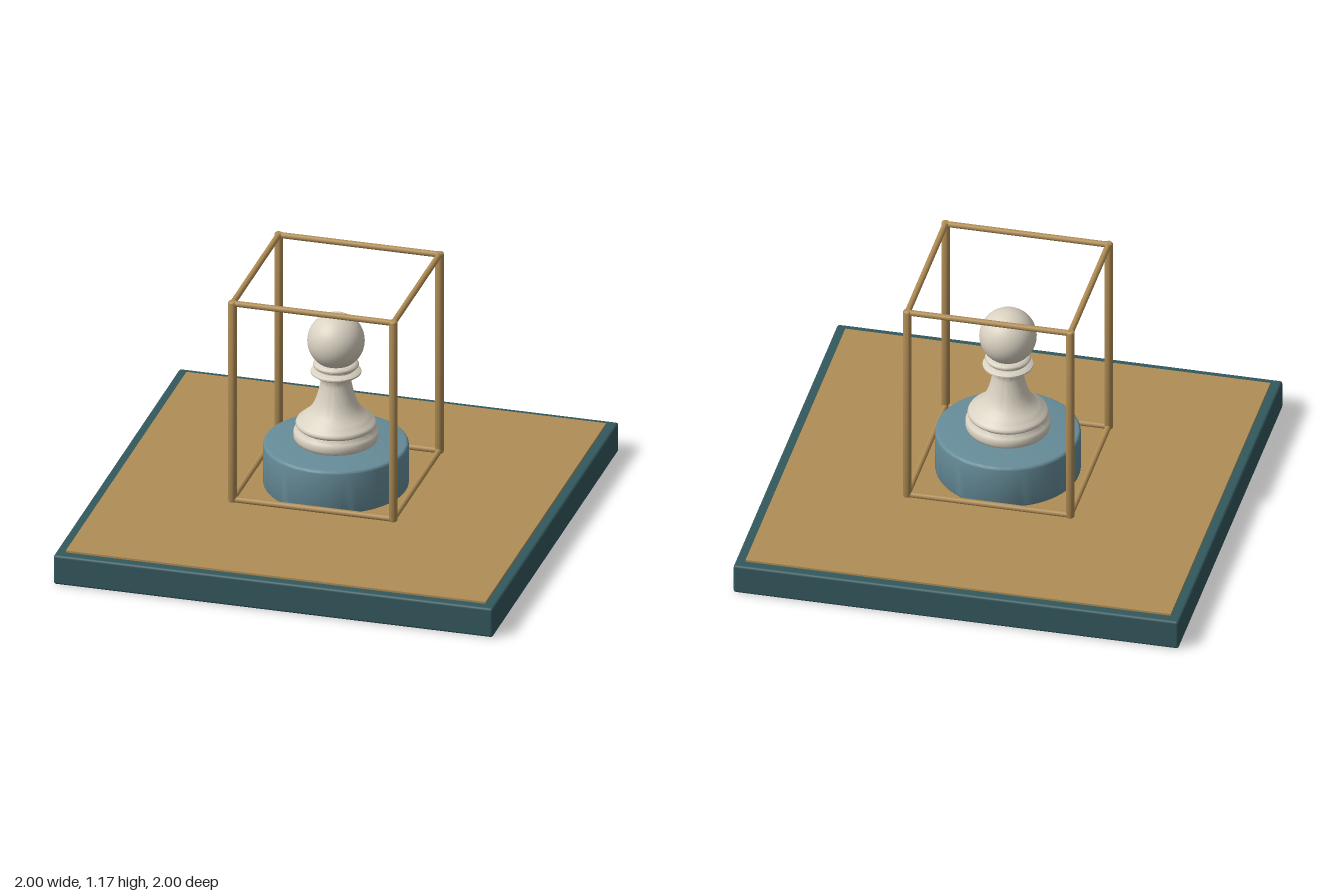
import * as THREE from 'three';
import { toCreasedNormals } from 'three/addons/utils/BufferGeometryUtils.js';
import { RoundedBoxGeometry } from 'three/addons/geometries/RoundedBoxGeometry.js';

const material = (name, color) => {
  const m = new THREE.MeshStandardMaterial({ color });
  m.name = name;
  return m;
};

// Turned solid from [radius, height] pairs, listed bottom to top
const turned = (pairs, segments, crease = 0.6) =>
  toCreasedNormals(
    new THREE.LatheGeometry(pairs.map(([r, y]) => new THREE.Vector2(r, y)), segments), crease);

// Round bar or disc profile with softened ends
const softCylinder = (r, y0, y1, bevel, segments) => {
  const pairs = [[0, y0]];
  for (let i = 0; i <= 4; i++) {
    const a = (i / 4) * Math.PI / 2;
    pairs.push([r - bevel + bevel * Math.sin(a), y0 + bevel - bevel * Math.cos(a)]);
  }
  for (let i = 0; i <= 4; i++) {
    const a = (i / 4) * Math.PI / 2;
    pairs.push([r - bevel + bevel * Math.cos(a), y1 - bevel + bevel * Math.sin(a)]);
  }
  pairs.push([0, y1]);
  return turned(pairs, segments);
};

export function createModel() {
  const model = new THREE.Group();
  model.name = 'framedPawn';

  const teal = material('dark teal', 0x33585d);
  const brass = material('brass', 0xb08d55);
  const blue = material('slate blue', 0x668c99);
  const ivory = material('ivory', 0xd9d1c1);

  const add = (parent, name, geometry, mat, x = 0, y = 0, z = 0) => {
    const mesh = new THREE.Mesh(geometry, mat);
    mesh.name = name;
    mesh.position.set(x, y, z);
    parent.add(mesh);
    return mesh;
  };

  // Square base with inlaid top plate
  add(model, 'base', new RoundedBoxGeometry(2, 0.14, 2, 3, 0.012), teal, 0, 0.07, 0);
  add(model, 'topPlate', new THREE.BoxGeometry(1.91, 0.012, 1.91), brass, 0, 0.143, 0);

  // Floating round plinth
  add(model, 'plinth', softCylinder(0.319, 0.165, 0.37, 0.014, 64), blue);

  // Pawn: stepped foot, curved stem and collars
  const pawn = new THREE.Group();
  pawn.name = 'pawn';
  model.add(pawn);
  add(pawn, 'body', turned([
    [0, 0.38], [0.172, 0.38], [0.182, 0.386], [0.187, 0.4], [0.187, 0.418], [0.182, 0.432],
    [0.168, 0.442], [0.167, 0.448], [0.175, 0.455], [0.177, 0.464], [0.172, 0.474],
    [0.16, 0.48], [0.153, 0.49], [0.138, 0.502], [0.117, 0.522], [0.1, 0.548],
    [0.087, 0.58], [0.076, 0.62], [0.068, 0.655], [0.066, 0.68], [0.072, 0.689],
    [0.1, 0.698], [0.111, 0.706], [0.111, 0.713], [0.1, 0.72], [0.085, 0.724],
    [0.085, 0.73], [0.097, 0.736], [0.101, 0.744], [0.098, 0.752], [0.085, 0.758], [0, 0.76],
  ], 64, 0.9), ivory);
  add(pawn, 'head', new THREE.SphereGeometry(0.126, 48, 32), ivory, 0, 0.858, 0);

  // Open cage: four posts joined by thinner rails at bottom and top
  const cage = new THREE.Group();
  cage.name = 'cage';
  model.add(cage);
  const half = 0.366;
  const post = softCylinder(0.019, 0.196, 1.167, 0.01, 20);
  const rail = new THREE.CylinderGeometry(0.0135, 0.0135, 2 * half, 16);
  for (const s of [-1, 1]) {
    for (const t of [-1, 1]) add(cage, 'post', post, brass, s * half, 0, t * half);
    for (const y of [0.208, 1.154]) {
      add(cage, 'railAcross', rail, brass, 0, y, s * half).rotation.z = Math.PI / 2;
      add(cage, 'railDeep', rail, brass, s * half, y, 0).rotation.x = Math.PI / 2;
    }
  }
  return model;
}
